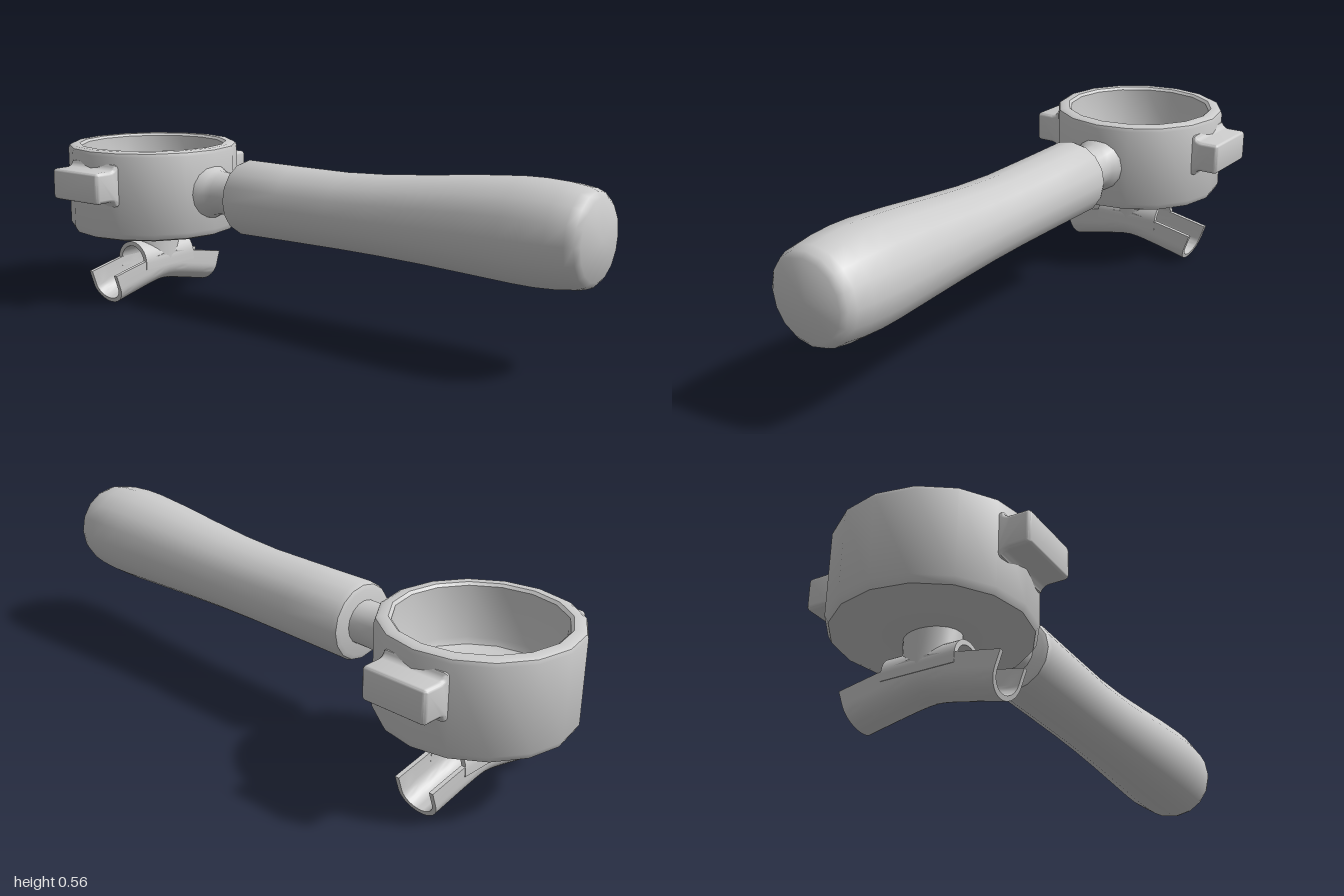
import * as THREE from 'three';
import { toCreasedNormals } from 'three/addons/utils/BufferGeometryUtils.js';

const SIDES = 16;
const HEAD_Z = -0.705;
const material = new THREE.MeshStandardMaterial({ color: 0xcccccc });
const openMaterial = new THREE.MeshStandardMaterial({ color: 0xcccccc, side: THREE.DoubleSide });

function add(group, name, geometry, crease = 0.65, mat = material) {
  const mesh = new THREE.Mesh(toCreasedNormals(geometry, crease), mat);
  mesh.name = name;
  group.add(mesh);
  return mesh;
}

function lathe(profile) {
  return new THREE.LatheGeometry(profile.map(([r, h]) => new THREE.Vector2(r, h)), SIDES);
}

// Moves every vertex by a rule that edits a Vector3
function deform(geometry, rule) {
  const pos = geometry.attributes.position;
  const v = new THREE.Vector3();
  for (let i = 0; i < pos.count; i++) {
    v.fromBufferAttribute(pos, i);
    rule(v);
    pos.setXYZ(i, v.x, v.y, v.z);
  }
  return geometry;
}

// Extrudes a z/y outline along x, centred on x = 0
function extrudeAlongX(shape, length, steps) {
  return new THREE.ExtrudeGeometry(shape, { depth: length, steps, bevelEnabled: false, curveSegments: 10 })
    .translate(0, 0, -length / 2).rotateY(Math.PI / 2);
}

export function createModel() {
  const model = new THREE.Group();
  model.name = 'filterHolder';

  // Round cup with a thick rim and a flat inner floor
  add(model, 'basket', lathe([
    [0, 0.236], [0.268, 0.236], [0.284, 0.242], [0.295, 0.262], [0.295, 0.522],
    [0.291, 0.534], [0.28, 0.54], [0.256, 0.54], [0.247, 0.532], [0.238, 0.37],
    [0.23, 0.35], [0.212, 0.342], [0, 0.342],
  ])).position.z = HEAD_Z;

  // Grip: swelling towards the front, its centre line rising slightly
  const grip = lathe([
    [0, -0.276], [0.106, -0.276], [0.12, -0.27], [0.126, -0.254], [0.124, -0.05],
    [0.123, 0.15], [0.127, 0.3], [0.136, 0.46], [0.147, 0.62], [0.155, 0.76],
    [0.156, 0.83], [0.152, 0.9], [0.144, 0.955], [0.134, 0.98], [0.118, 0.993], [0, 1],
  ]).rotateX(Math.PI / 2);
  deform(grip, (v) => { v.y += 0.388 + 0.017 * THREE.MathUtils.smoothstep(v.z, 0.1, 0.8); });
  add(model, 'handle', grip);

  // Neck flaring into the basket wall
  add(model, 'neck', lathe([
    [0.094, -0.43], [0.088, -0.41], [0.078, -0.395], [0.073, -0.37], [0.07, -0.32], [0.07, -0.26],
  ]).rotateX(Math.PI / 2)).position.y = 0.39;

  // Locking ears with filleted roots, one on each side
  const ear = new THREE.Shape();
  ear.moveTo(0.255, 0.355);
  ear.lineTo(0.282, 0.355);
  ear.quadraticCurveTo(0.288, 0.374, 0.308, 0.374);
  ear.lineTo(0.353, 0.374);
  ear.quadraticCurveTo(0.368, 0.374, 0.368, 0.389);
  ear.lineTo(0.368, 0.463);
  ear.quadraticCurveTo(0.368, 0.478, 0.353, 0.478);
  ear.lineTo(0.308, 0.478);
  ear.quadraticCurveTo(0.288, 0.478, 0.282, 0.497);
  ear.lineTo(0.255, 0.497);
  ear.closePath();
  for (const side of [1, -1]) {
    const geometry = new THREE.ExtrudeGeometry(ear, {
      depth: 0.194, curveSegments: 5, bevelThickness: 0.013, bevelSize: 0.012,
      bevelOffset: -0.012, bevelSegments: 3,
    }).translate(0, 0, -0.097);
    if (side < 0) geometry.rotateY(Math.PI);
    add(model, side > 0 ? 'leftEar' : 'rightEar', geometry).position.z = HEAD_Z;
  }

  // Double spout
  const spout = new THREE.Group();
  spout.name = 'doubleSpout';
  spout.position.z = HEAD_Z + 0.003;
  model.add(spout);

  // Open trough bent down to both sides, with slanted ends
  const trough = new THREE.Shape();
  const height = 0.107;
  trough.moveTo(-0.068, height);
  trough.lineTo(-0.068, 0.06);
  trough.absellipse(0, 0.06, 0.068, 0.06, Math.PI, Math.PI * 2, false);
  trough.lineTo(0.068, height);
  trough.lineTo(0.054, height);
  trough.lineTo(0.054, 0.06);
  trough.absellipse(0, 0.06, 0.054, 0.046, 0, Math.PI, true);
  trough.lineTo(-0.054, height);
  trough.closePath();
  const arms = deform(extrudeAlongX(trough, 0.444, 16), (v) => {
    const drop = 0.232 * Math.sqrt(v.x * v.x + 0.0016);
    v.x *= 1 + 0.165 * v.y / height;
    v.y += 0.0545 - drop;
  });
  add(spout, 'spoutArms', arms);

  // Arched roof over the middle of the trough
  const archY = 0.128, archR = 0.07;
  const arch = new THREE.Shape();
  arch.moveTo(archR, 0.105);
  arch.lineTo(archR, archY);
  arch.absarc(0, archY, archR, 0, Math.PI, false);
  arch.lineTo(-archR, 0.105);
  arch.lineTo(-0.053, 0.105);
  arch.lineTo(-0.053, archY);
  arch.absarc(0, archY, 0.055, Math.PI, 0, true);
  arch.lineTo(0.053, 0.105);
  arch.closePath();
  add(spout, 'spoutRoof', extrudeAlongX(arch, 0.236, 1));

  // Oval stem whose lower edge follows the arched roof
  const stem = new THREE.CylinderGeometry(1, 1, 0.1, 24, 1, true).translate(0, 0.19, 0);
  deform(stem, (v) => {
    v.x *= 0.088;
    v.z *= 0.07;
    if (v.y < 0.2) v.y = archY - 0.006 + Math.sqrt(Math.max(0, archR * archR - v.z * v.z));
  });
  add(spout, 'spoutStem', stem, 0.65, openMaterial);

  return model;
}
